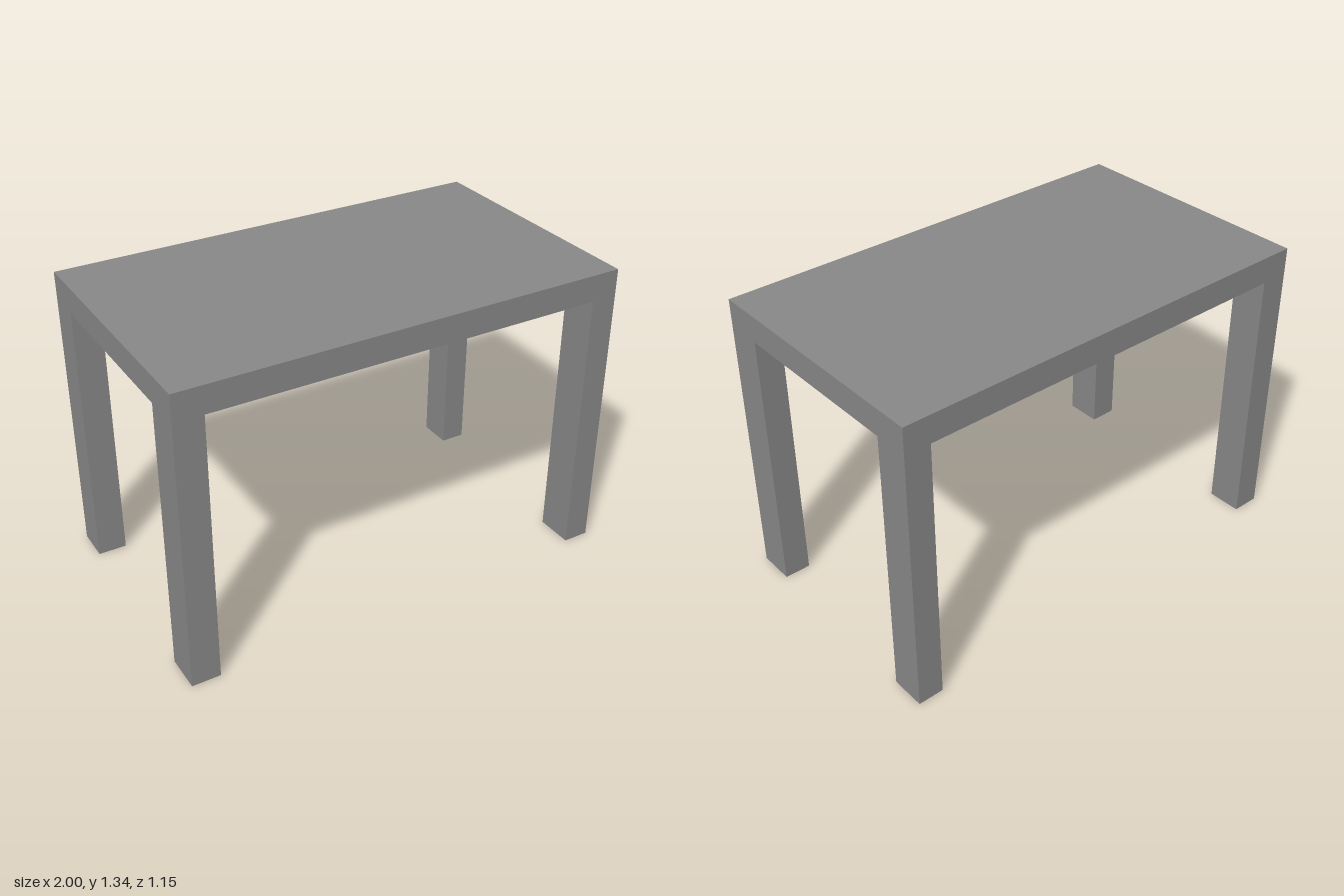
import * as THREE from 'three';

const HEIGHT = 1.337, UNDERSIDE = 1.217, HALF_X = 1, HALF_Z = 0.573;

export function createModel() {
  const table = new THREE.Group();
  table.name = 'table';
  const material = new THREE.MeshStandardMaterial({ color: 0x888888, flatShading: true });

  const addBox = (name, w, h, d, x, y, z) => {
    const mesh = new THREE.Mesh(new THREE.BoxGeometry(w, h, d), material);
    mesh.name = name;
    mesh.position.set(x, y, z);
    table.add(mesh);
  };

  // Thick slab top
  const thickness = HEIGHT - UNDERSIDE;
  addBox('tableTop', HALF_X * 2, thickness, HALF_Z * 2, 0, UNDERSIDE + thickness / 2, 0);

  // Corner legs, flush with the edges of the top: [name, x side, z side, width, depth]
  const legs = [
    ['frontLeftLeg', 1, 1, 0.117, 0.168],
    ['frontRightLeg', -1, 1, 0.127, 0.168],
    ['backLeftLeg', 1, -1, 0.115, 0.156],
    ['backRightLeg', -1, -1, 0.127, 0.157],
  ];
  for (const [name, sx, sz, w, d] of legs) {
    addBox(name, w, UNDERSIDE, d, sx * (HALF_X - w / 2), UNDERSIDE / 2, sz * (HALF_Z - d / 2));
  }
  return table;
}
